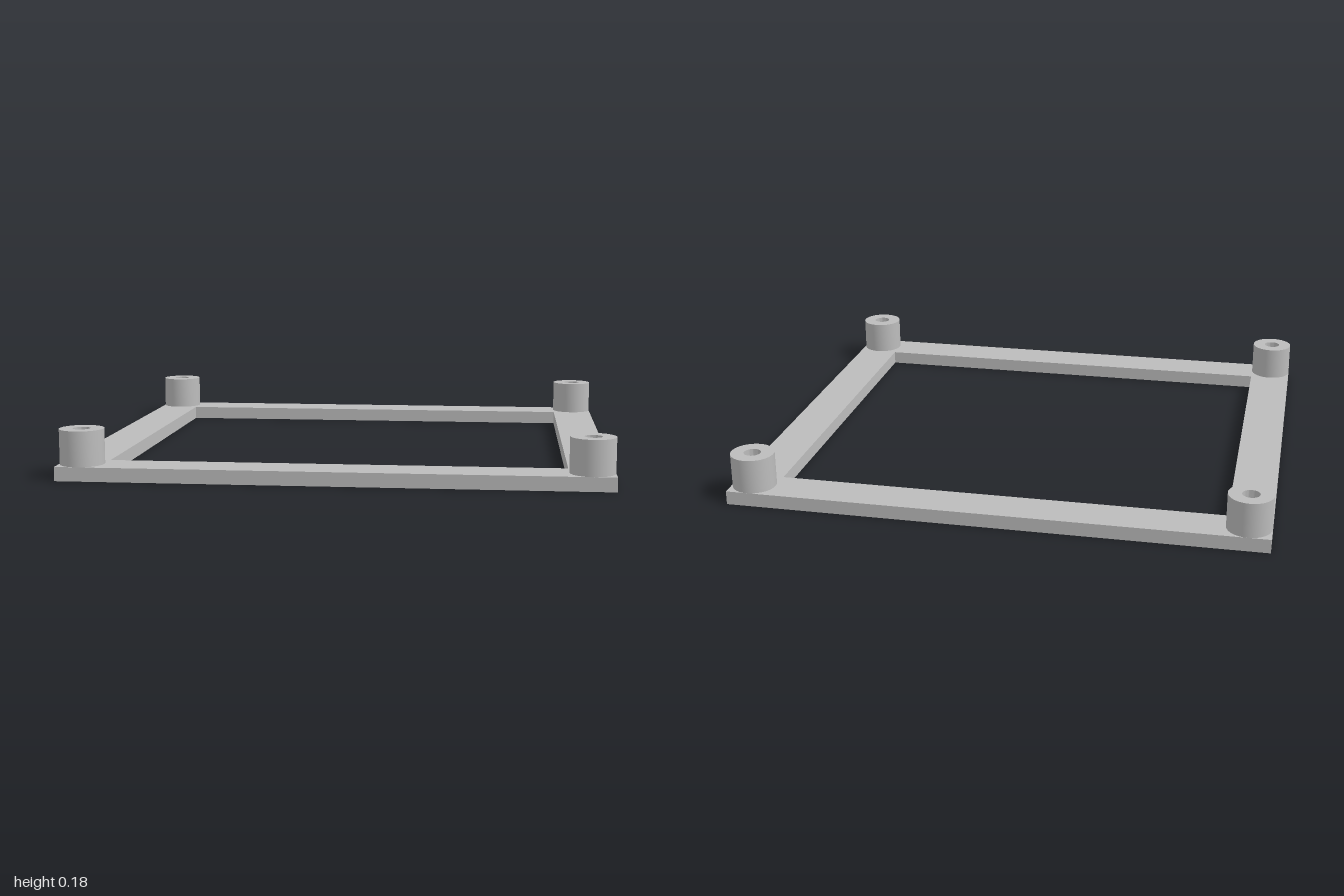
import * as THREE from 'three';
import { toCreasedNormals } from 'three/addons/utils/BufferGeometryUtils.js';

const HALF_X = 1, HALF_Z = 0.89;      // outer half sizes of the frame
const RAIL = 0.163;                   // rail width, also the standoff diameter
const BASE = 0.052, TOP = 0.182;      // heights of the frame and the standoffs
const POST_R = RAIL / 2, HOLE_R = 0.032;
const SEGMENTS = 48;

const corners = [];
for (const sx of [-1, 1]) {
  for (const sz of [-1, 1]) corners.push([sx * (HALF_X - POST_R), sz * (HALF_Z - POST_R)]);
}

function rectangle(PathType, hx, hy) {
  const path = new PathType();
  path.moveTo(-hx, -hy);
  path.lineTo(hx, -hy);
  path.lineTo(hx, hy);
  path.lineTo(-hx, hy);
  path.closePath();
  return path;
}

export function createModel() {
  const model = new THREE.Group();
  model.name = 'mountingFrame';
  const grey = new THREE.MeshStandardMaterial({ color: 0xbcbcbc });
  grey.name = 'grey';

  // Flat rectangular frame with a screw hole at each corner
  const outline = rectangle(THREE.Shape, HALF_X, HALF_Z);
  outline.holes.push(rectangle(THREE.Path, HALF_X - RAIL, HALF_Z - RAIL));
  for (const [x, z] of corners) {
    const hole = new THREE.Path();
    hole.absarc(x, -z, HOLE_R, 0, Math.PI * 2, true);
    outline.holes.push(hole);
  }
  const frameGeometry = new THREE.ExtrudeGeometry(outline, {
    depth: BASE, bevelEnabled: false, curveSegments: SEGMENTS,
  });
  frameGeometry.rotateX(-Math.PI / 2);
  const frame = new THREE.Mesh(toCreasedNormals(frameGeometry, 0.5), grey);
  frame.name = 'frame';
  model.add(frame);

  // Hollow cylindrical standoffs: outer wall, rim and bore
  const profile = [
    [POST_R, BASE], [POST_R, TOP], [HOLE_R, TOP], [HOLE_R, BASE],
  ].map(([r, y]) => new THREE.Vector2(r, y));
  const postGeometry = toCreasedNormals(new THREE.LatheGeometry(profile, SEGMENTS), 0.5);
  for (const [x, z] of corners) {
    const post = new THREE.Mesh(postGeometry, grey);
    post.name = (z > 0 ? 'front' : 'back') + (x > 0 ? 'Left' : 'Right') + 'Standoff';
    post.position.set(x, 0, z);
    model.add(post);
  }
  return model;
}
